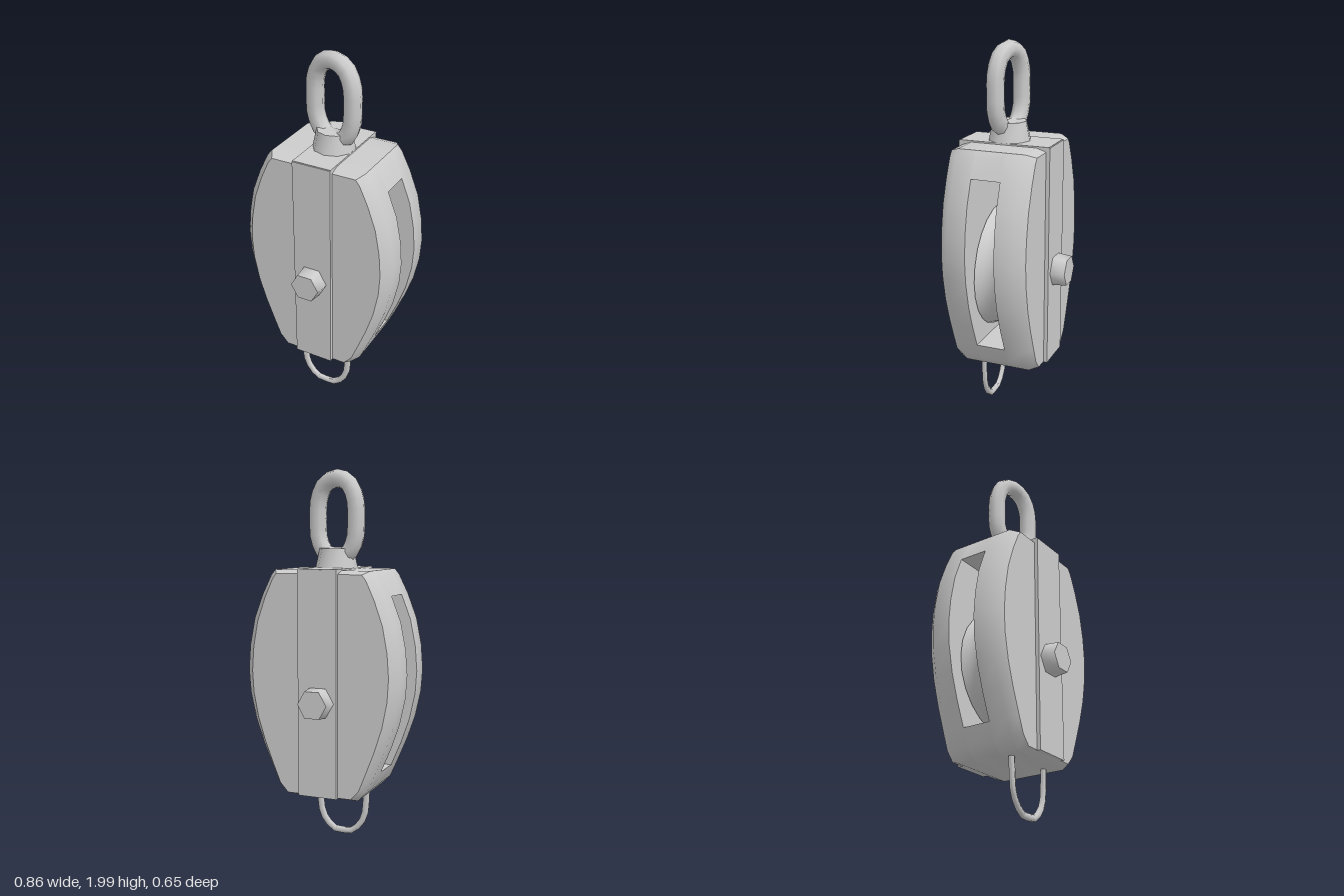
import * as THREE from 'three';
import { toCreasedNormals } from 'three/addons/utils/BufferGeometryUtils.js';

const material = new THREE.MeshStandardMaterial({ color: 0xcccccc });

// Right half of the shell outline, bottom to top
const profile = [
  [0.2, 0.29], [0.25, 0.34], [0.29, 0.43], [0.345, 0.56], [0.39, 0.69], [0.42, 0.83], [0.428, 0.95],
  [0.418, 1.08], [0.39, 1.22], [0.34, 1.35], [0.29, 1.45], [0.265, 1.48],
];

function mirroredShape(half) {
  const left = half.map(([x, y]) => [-x, y]).reverse();
  return new THREE.Shape([...half, ...left].map(([x, y]) => new THREE.Vector2(x, y)));
}

function addMesh(parent, name, geometry, crease = 0.8) {
  const mesh = new THREE.Mesh(toCreasedNormals(geometry, crease), material);
  mesh.name = name;
  parent.add(mesh);
  return mesh;
}

// Cheek plate: the outer face is drawn in to give a broad chamfer
function cheekGeometry() {
  const geometry = new THREE.ExtrudeGeometry(mirroredShape(profile), { depth: 2, steps: 2, bevelEnabled: false });
  const p = geometry.attributes.position;
  const levels = [0.078, 0.18, 0.23];
  for (let i = 0; i < p.count; i++) {
    const level = Math.round(p.getZ(i));
    p.setZ(i, levels[level]);
    if (level === 2) {
      p.setX(i, p.getX(i) * 0.89);
      p.setY(i, 0.885 + (p.getY(i) - 0.885) * 0.97);
    }
  }
  return geometry;
}

// Tube with an oval section: flattened along z
function flatTube(points, closed, radius, squash, segments, sides) {
  const curve = new THREE.CatmullRomCurve3(points.map(([x, y]) => new THREE.Vector3(x, y, 0)), closed, 'centripetal');
  return new THREE.TubeGeometry(curve, segments, radius, sides, closed).scale(1, 1, squash);
}

export function createModel() {
  const model = new THREE.Group();
  model.name = 'pulleyBlock';

  // Shell: two cheeks joined by a block at the top and the bottom
  const shell = new THREE.Group();
  shell.name = 'shell';
  model.add(shell);
  addMesh(shell, 'frontCheek', cheekGeometry());
  addMesh(shell, 'backCheek', cheekGeometry()).rotation.y = Math.PI;
  for (const [name, from, to] of [['topBlock', 1.35, 1.5], ['bottomBlock', 0.28, 0.43]]) {
    const part = profile.filter(([, y]) => y >= from && y <= to);
    const geometry = new THREE.ExtrudeGeometry(mirroredShape(part), { depth: 0.16, bevelEnabled: false });
    addMesh(shell, name, geometry.translate(0, 0, -0.08));
  }

  // Strap running over the top and down both faces
  const strap = new THREE.Group();
  strap.name = 'strap';
  model.add(strap);
  for (const side of [1, -1]) {
    const plate = new THREE.BoxGeometry(0.215, 1.18, 0.03);
    addMesh(strap, side > 0 ? 'frontStrap' : 'backStrap', plate).position.set(0, 0.895, side * 0.235);
  }
  addMesh(strap, 'topStrap', new THREE.BoxGeometry(0.215, 0.02, 0.49)).position.set(0, 1.478, 0);

  // Grooved sheave
  const rim = [[0, -0.07], [0.335, -0.07], [0.318, -0.035], [0.31, 0], [0.318, 0.035], [0.335, 0.07], [0, 0.07]];
  const sheave = new THREE.LatheGeometry(rim.map(([r, y]) => new THREE.Vector2(r, y)), 24);
  addMesh(model, 'sheave', sheave.rotateX(Math.PI / 2)).position.y = 0.8;

  // Axle with hexagonal ends
  for (const side of [1, -1]) {
    const end = new THREE.CylinderGeometry(0.08, 0.09, 0.1, 6).rotateY(Math.PI / 6);
    const mesh = addMesh(model, side > 0 ? 'frontAxleEnd' : 'backAxleEnd', end.rotateX(side * Math.PI / 2), 1.1);
    mesh.position.set(-0.005, 0.805, side * 0.277);
  }

  // Boss and the slightly turned link above it
  const boss = new THREE.CylinderGeometry(0.09, 0.115, 0.115, 10);
  addMesh(model, 'linkBoss', boss).position.set(0, 1.53, 0.01);
  const linkPath = [
    [0, 1.545], [0.07, 1.56], [0.115, 1.64], [0.12, 1.73], [0.115, 1.84], [0.075, 1.92],
    [0, 1.95], [-0.075, 1.92], [-0.115, 1.84], [-0.12, 1.73], [-0.115, 1.64], [-0.07, 1.56],
  ];
  const link = addMesh(model, 'link', flatTube(linkPath, true, 0.048, 0.95, 24, 8), 1.2);
  link.position.z = 0.014;
  link.rotation.y = -0.2;

  // Thin becket loop below
  const becketPath = [
    [-0.14, 0.32], [-0.137, 0.22], [-0.12, 0.1], [-0.055, 0.026], [0, 0.02],
    [0.055, 0.026], [0.12, 0.1], [0.137, 0.22], [0.14, 0.32],
  ];
  const becket = addMesh(model, 'becket', flatTube(becketPath, false, 0.019, 0.8, 16, 6), 1.2);
  becket.position.z = 0.105;

  return model;
}
